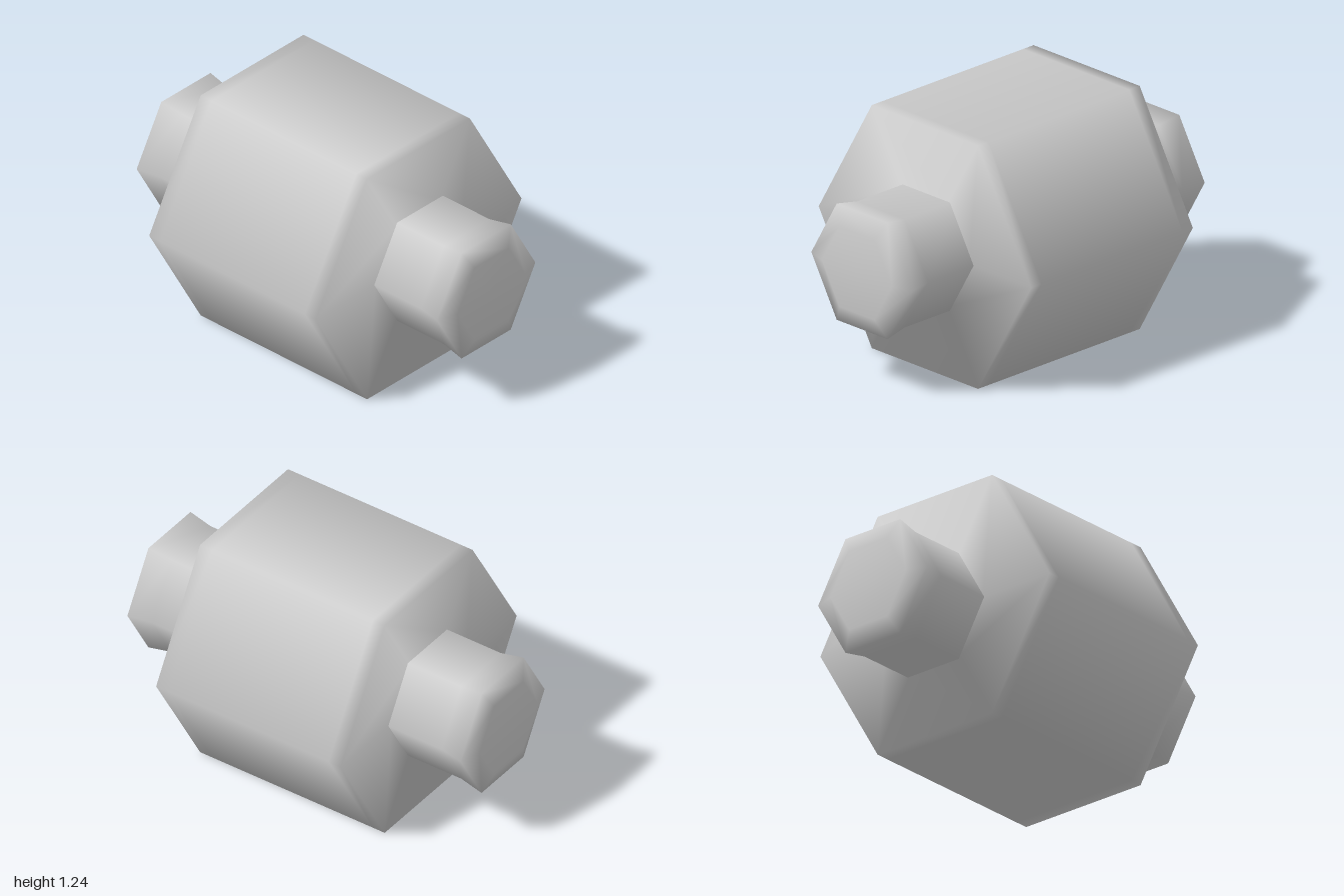
import * as THREE from 'three';

const SIDES = 6;

// Six-sided solid of revolution along x; points are [x, radius] from -x to +x.
// Normals are smooth around the axis and evenly averaged along the profile.
// Segments outside first..last only shape the end normals.
function hexTurned(points, first = 0, last = points.length - 1) {
  const segs = points.slice(1).map((p, i) =>
    new THREE.Vector2(p[1] - points[i][1], p[0] - points[i][0]).normalize());
  const normals = points.map((p, i) => {
    const n = new THREE.Vector2();
    for (const s of [segs[i - 1], segs[i]]) if (s) n.add(new THREE.Vector2(s.y, -s.x));
    return n.normalize();
  }).slice(first, last + 1);
  const used = points.slice(first, last + 1);
  const geo = new THREE.LatheGeometry(used.map(([x, r]) => new THREE.Vector2(r, x)), SIDES);
  const attr = geo.attributes.normal;
  for (let i = 0; i <= SIDES; i++) {
    const a = (i / SIDES) * Math.PI * 2;
    normals.forEach((n, j) =>
      attr.setXYZ(i * used.length + j, n.x * Math.sin(a), n.y, n.x * Math.cos(a)));
  }
  return geo.rotateZ(-Math.PI / 2);
}

export function createModel() {
  const model = new THREE.Group();
  model.name = 'hexRoller';
  const grey = new THREE.MeshStandardMaterial({ color: 0xcccccc });
  grey.name = 'plainGrey';

  function add(name, geo, z = 0) {
    const mesh = new THREE.Mesh(geo, grey);
    mesh.name = name;
    mesh.position.set(0, 0.62, z);
    model.add(mesh);
  }

  // Wide central drum; the outermost points only tilt the inner end normals
  add('drum', hexTurned([
    [-0.6, 0.3], [-0.53, 0.3], [-0.53, 0.715], [-0.46, 0.715],
    [0.47, 0.715], [0.54, 0.715], [0.54, 0.3], [0.6, 0.3],
  ], 1, 6));

  // Axle stubs with flared, chamfered tips
  const stub = [[0.5, 0.318], [0.84, 0.318], [0.965, 0.342], [1, 0.235], [1, 0]];
  add('leftAxle', hexTurned(stub), -0.01);
  add('rightAxle', hexTurned(stub.map(([x, r]) => [-x, r]).reverse()), -0.01);

  return model;
}
